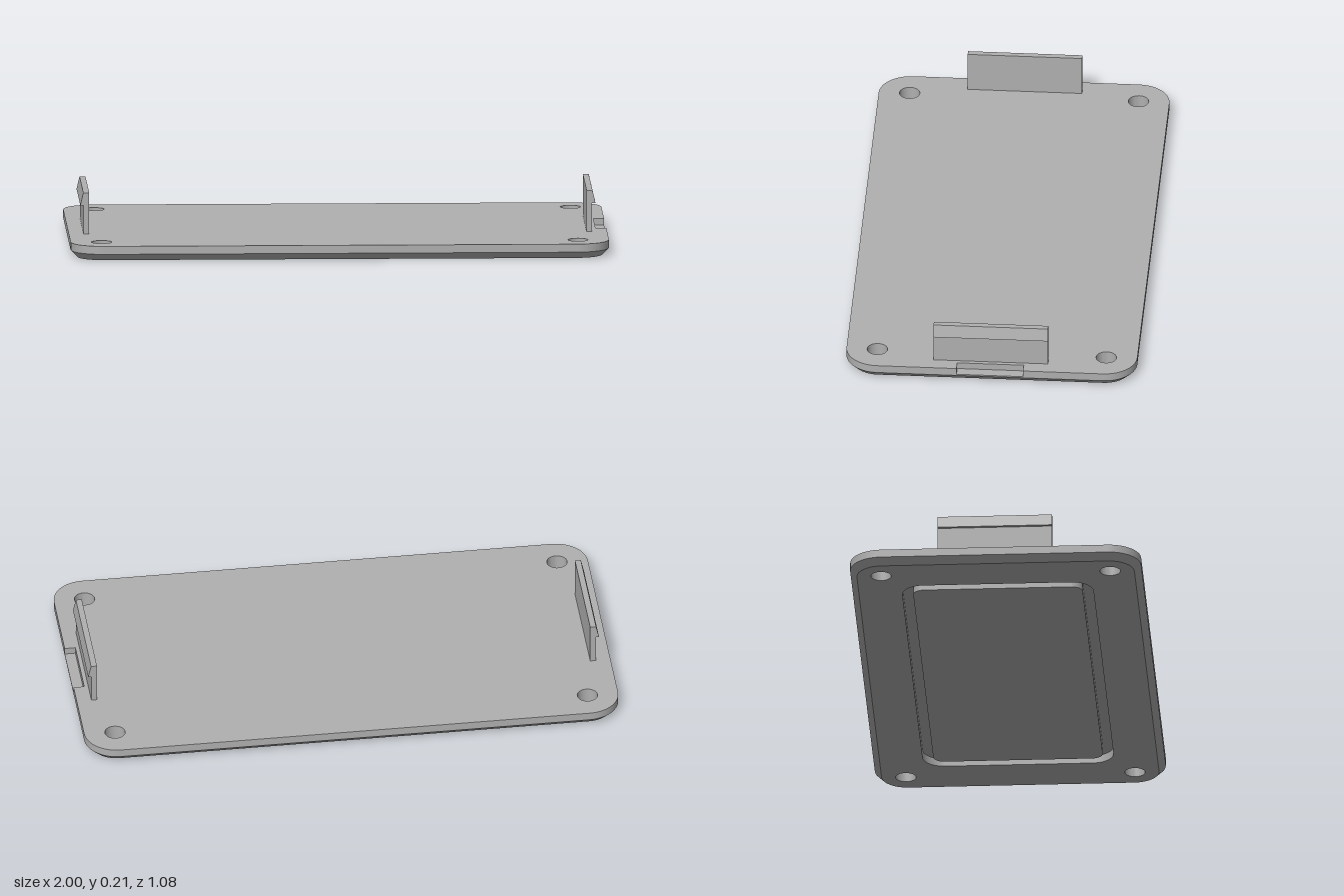
import * as THREE from 'three';
import { mergeGeometries, toCreasedNormals } from 'three/addons/utils/BufferGeometryUtils.js';

const TOP = 0.055, CHAMFER = 0.025, LEDGE = 0.03;
const V = (x, y) => new THREE.Vector2(x, y);

// Counter-clockwise rounded rectangle, starting on the +x side
function roundedRect(hx, hy, r, seg = 10) {
  const pts = [];
  [[1, 1], [-1, 1], [-1, -1], [1, -1]].forEach(([sx, sy], q) => {
    for (let i = 0; i <= seg; i++) {
      const a = (q + i / seg) * Math.PI / 2;
      pts.push(V(sx * (hx - r) + r * Math.cos(a), sy * (hy - r) + r * Math.sin(a)));
    }
  });
  return pts;
}

function circle(cx, cy, r, n = 32) {
  return Array.from({ length: n }, (_, i) => {
    const a = i / n * Math.PI * 2;
    return V(cx + r * Math.cos(a), cy + r * Math.sin(a));
  });
}

// Wall between two outlines at two heights; inward flips it to line a hole
function wall(low, y0, high, y1, inward = false) {
  const pos = [];
  low.forEach((a, i) => {
    const j = (i + 1) % low.length, b = low[j], c = high[j], d = high[i];
    const A = [a.x, y0, -a.y], B = [b.x, y0, -b.y], C = [c.x, y1, -c.y], D = [d.x, y1, -d.y];
    pos.push(...(inward ? [A, C, B, A, D, C] : [A, B, C, A, C, D]).flat());
  });
  const g = new THREE.BufferGeometry();
  g.setAttribute('position', new THREE.Float32BufferAttribute(pos, 3));
  return g;
}

// Flat horizontal face with optional holes, facing up or down
function flat(pts, y, up, holes = []) {
  const s = new THREE.Shape(pts);
  s.holes = holes.map(h => new THREE.Path(h));
  const g = new THREE.ShapeGeometry(s).toNonIndexed();
  g.deleteAttribute('uv');
  g.deleteAttribute('normal');
  return g.rotateX(up ? -Math.PI / 2 : Math.PI / 2).translate(0, y, 0);
}

export function createModel() {
  const group = new THREE.Group();
  const grey = new THREE.MeshStandardMaterial({ color: 0xb0b0b0 });
  grey.name = 'plain grey';

  const edge = roundedRect(1, 0.541, 0.12);
  const foot = roundedRect(0.975, 0.516, 0.095);
  // Upper outline with the pry notch cut into the left end
  const notch = [V(1, -0.124), V(0.96, -0.124), V(0.96, 0.124), V(1, 0.124)];
  const notched = [...edge, ...notch];
  // Screw holes
  const holes = [];
  for (const x of [-0.885, 0.885]) for (const z of [-0.426, 0.426]) holes.push(circle(x, z, 0.038));
  // Groove under the plate
  const grooveOuter = roundedRect(0.795, 0.355, 0.08);
  const grooveInner = roundedRect(0.755, 0.315, 0.04);

  const plateGeo = mergeGeometries([
    wall(foot, 0, edge, CHAMFER),
    wall(edge, CHAMFER, edge, LEDGE),
    wall(notched, LEDGE, notched, TOP),
    flat(notch, LEDGE, true),
    flat(notched, TOP, true, holes),
    flat(foot, 0, false, [...holes, grooveOuter]),
    flat(grooveInner, 0, false),
    flat(grooveOuter, LEDGE, false, [grooveInner]),
    wall(grooveOuter, 0, grooveOuter, LEDGE, true),
    wall(grooveInner, 0, grooveInner, LEDGE),
    ...holes.map(h => wall(h, 0, h, TOP, true)),
  ]);
  const plate = new THREE.Mesh(toCreasedNormals(plateGeo, 0.5), grey);
  plate.name = 'coverPlate';
  group.add(plate);

  // Snap clips: upright tabs with a barb on the outer face
  const profile = new THREE.Shape([
    V(0.924, TOP), V(0.945, TOP), V(0.945, 0.162), V(0.957, 0.162), V(0.946, 0.209), V(0.924, 0.209),
  ]);
  const clipGeo = new THREE.ExtrudeGeometry(profile, { depth: 0.426, bevelEnabled: false }).translate(0, 0, -0.213);
  for (const [name, turn] of [['leftClip', 0], ['rightClip', Math.PI]]) {
    const clip = new THREE.Mesh(clipGeo, grey);
    clip.name = name;
    clip.rotation.y = turn;
    group.add(clip);
  }
  return group;
}
